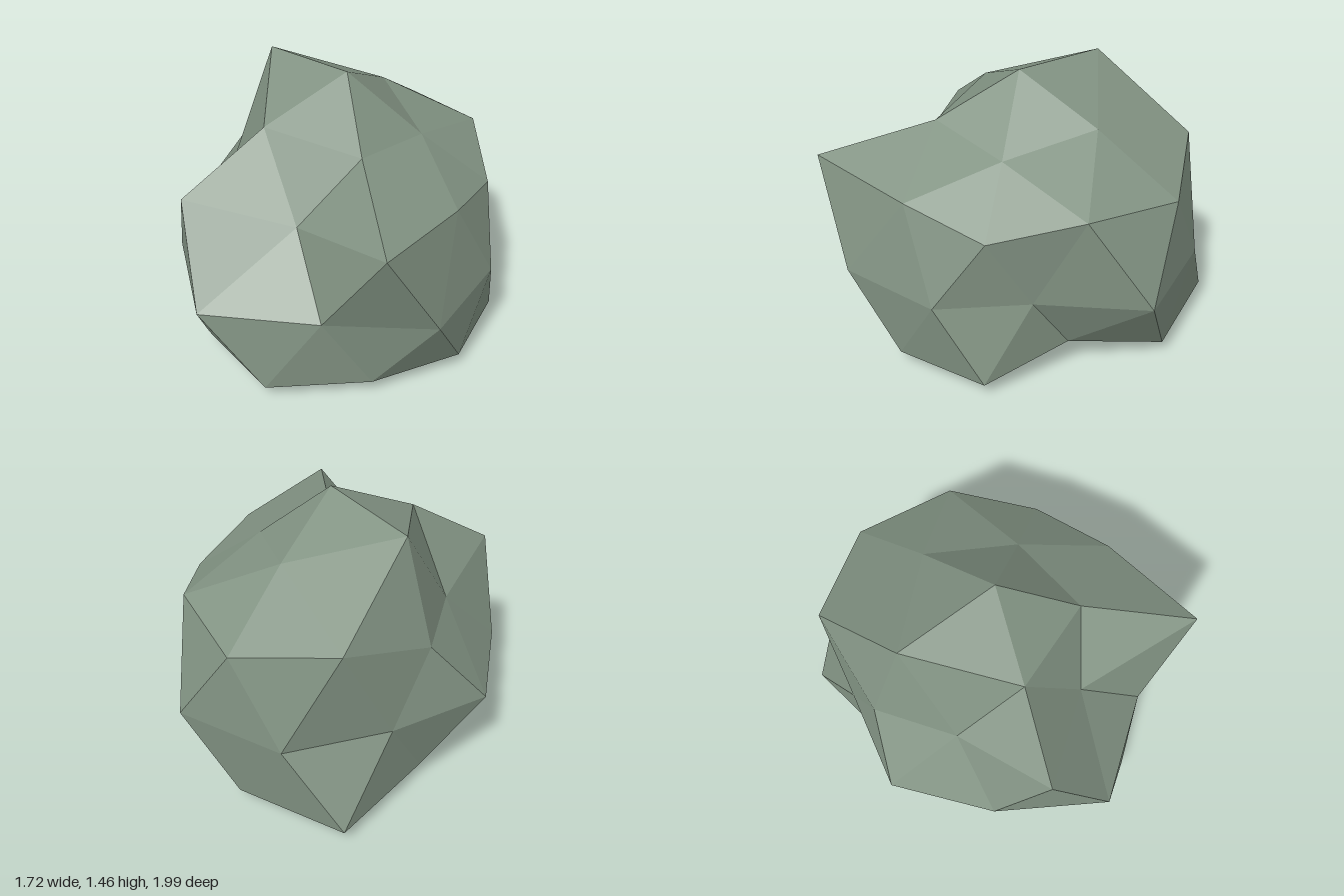
import * as THREE from 'three';

// A faceted boulder: a once-subdivided icosahedron whose points slide along their rays,
// with everything low down squashed into a nearly flat base.
const CENTRE = new THREE.Vector3(0.04, 0.505, 0);
const FLOOR = 0.1, SQUASH = 0.15;

// ring of points: start angle and step in degrees, rise per unit of radius, radii
function ring(start, step, rise, radii) {
  return radii.map((r, i) => {
    const a = THREE.MathUtils.degToRad(start + step * i);
    let y = CENTRE.y + rise * r;
    if (y < FLOOR) y = FLOOR + (y - FLOOR) * SQUASH;
    return new THREE.Vector3(CENTRE.x + r * Math.cos(a), y, CENTRE.z + r * Math.sin(a));
  });
}

function boulderGeometry() {
  const G = (1 + Math.sqrt(5)) / 2;
  const top = new THREE.Vector3(0.04, 1.46, 0);
  const bottom = new THREE.Vector3(0.04, 0, 0);
  const crown = ring(0, 72, G, [0.39, 0.43, 0.466, 0.567, 0.452]);
  const upper = ring(0, 72, 0.5, [0.75, 1.047, 0.925, 0.766, 0.903]);
  const upperMid = ring(36, 72, 1 / G, [0.754, 0.557, 0.62, 0.905, 0.80]);
  const waist = ring(18, 36, 0, [0.845, 0.97, 0.842, 1.053, 0.905, 0.945, 0.828, 0.96, 0.99, 0.69]);
  const lower = ring(36, 72, -0.5, [0.83, 0.925, 0.685, 1.05, 0.63]);
  const lowerMid = ring(0, 72, -1 / G, [0.82, 0.79, 0.84, 0.74, 0.885]);
  const foot = ring(36, 72, -G, [0.51, 0.485, 0.54, 0.40, 0.40]);

  const points = [];
  const face = (a, b, c) => points.push(a, b, c);
  for (let i = 0; i < 5; i++) {
    const j = (i + 1) % 5;
    const e0 = waist[2 * i], e1 = waist[2 * i + 1], e2 = waist[(2 * i + 2) % 10];
    // cap
    face(top, crown[j], crown[i]);
    face(crown[i], upperMid[i], upper[i]);
    face(crown[i], crown[j], upperMid[i]);
    face(crown[j], upper[j], upperMid[i]);
    // sides above the waist
    face(upper[i], upperMid[i], e0);
    face(upperMid[i], e1, e0);
    face(upperMid[i], upper[j], e1);
    face(upper[j], e2, e1);
    // sides below the waist
    face(lower[i], e0, e1);
    face(lowerMid[j], e1, e2);
    face(lower[i], e1, lowerMid[j]);
    face(lower[j], lowerMid[j], e2);
    // base
    face(bottom, foot[i], foot[j]);
    face(foot[i], lower[i], lowerMid[j]);
    face(foot[i], lowerMid[j], foot[j]);
    face(foot[j], lowerMid[j], lower[j]);
  }
  const geometry = new THREE.BufferGeometry().setFromPoints(points);
  geometry.computeVertexNormals();
  return geometry;
}

export function createModel() {
  const stone = new THREE.MeshStandardMaterial({ color: 0x829383, flatShading: true });
  stone.name = 'mossy grey stone';
  const boulder = new THREE.Mesh(boulderGeometry(), stone);
  boulder.name = 'boulder';
  const model = new THREE.Group();
  model.name = 'rock';
  model.add(boulder);
  return model;
}
